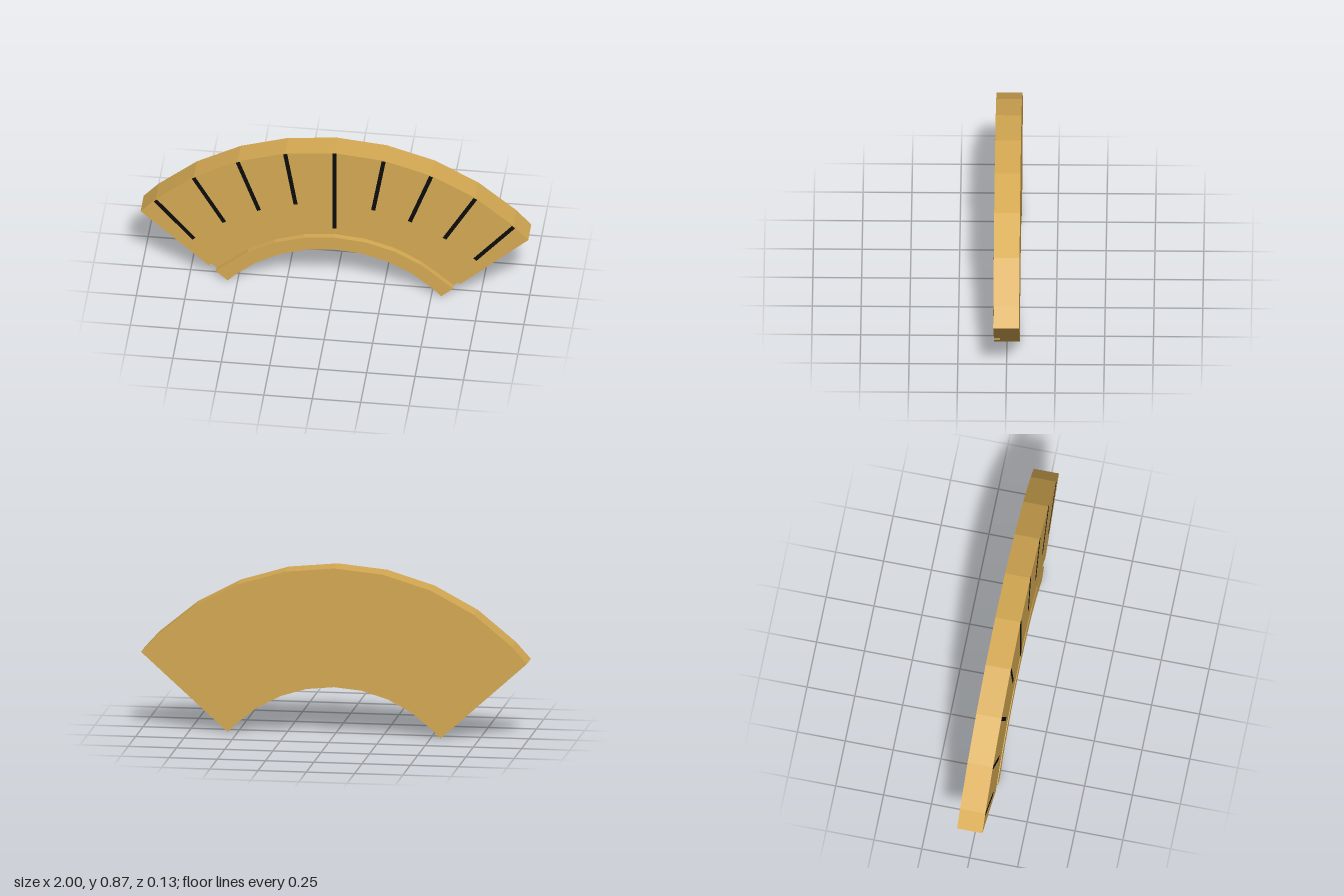
import * as THREE from 'three';

const STEP = Math.PI / 16; // facet angle of the arcs
const BACK = -0.066, FLOOR = 0.036, FRONT = 0.066;

// Faceted arc from left end to right end, finished exactly at the cut ends
function arc(radius, topY, endX, endY) {
  const pts = [new THREE.Vector2(-endX, endY)];
  for (let k = -4; k <= 4; k++) {
    pts.push(new THREE.Vector2(radius * Math.sin(k * STEP), topY - radius * (1 - Math.cos(k * STEP))));
  }
  pts.push(new THREE.Vector2(endX, endY));
  return pts;
}

// Flat curved band between two arcs, extruded from z0 to z1
function band(name, outer, inner, z0, z1, material) {
  const shape = new THREE.Shape([...outer, ...inner.slice().reverse()]);
  const geo = new THREE.ExtrudeGeometry(shape, { depth: z1 - z0, bevelEnabled: false });
  geo.translate(0, 0, z0);
  const mesh = new THREE.Mesh(geo, material);
  mesh.name = name;
  return mesh;
}

export function createModel() {
  const group = new THREE.Group();
  group.name = 'archedSegment';
  const tan = new THREE.MeshStandardMaterial({ color: 0xd6aa53 });
  tan.name = 'tan';
  const black = new THREE.MeshStandardMaterial({ color: 0x0c0c0c });
  black.name = 'black';

  const outer = arc(1.305, 0.873, 1, 0.405);
  const grooveTop = arc(0.861, 0.385, 0.648, 0.088);
  const grooveBottom = arc(0.804, 0.328, 0.612, 0.055);
  const inner = arc(0.728, 0.252, 0.551, 0);

  // Full back slab, with a face and a lip in front leaving a groove between them
  group.add(band('backSlab', outer, inner, BACK, FLOOR, tan));
  group.add(band('frontFace', outer, grooveTop, FLOOR, FRONT, tan));
  group.add(band('innerLip', grooveBottom, inner, FLOOR, FRONT, tan));

  // Thin dark slots fanning out over the front: outer x, y, then inner x, y
  const slots = [
    [0, 0.872, 0, 0.388],
    [0.254, 0.843, 0.2, 0.524],
    [0.499, 0.768, 0.389, 0.468],
    [0.727, 0.646, 0.568, 0.375],
    [0.924, 0.482, 0.725, 0.254],
  ];
  for (const [ox, oy, ix, iy] of slots) {
    for (const side of ox === 0 ? [1] : [1, -1]) {
      const slot = new THREE.Mesh(
        new THREE.BoxGeometry(0.021, Math.hypot(ox - ix, oy - iy), 0.003), black);
      slot.position.set(side * (ox + ix) / 2, (oy + iy) / 2, FRONT);
      slot.rotation.z = -side * Math.atan2(ox - ix, oy - iy);
      slot.name = 'slot';
      group.add(slot);
    }
  }
  return group;
}
